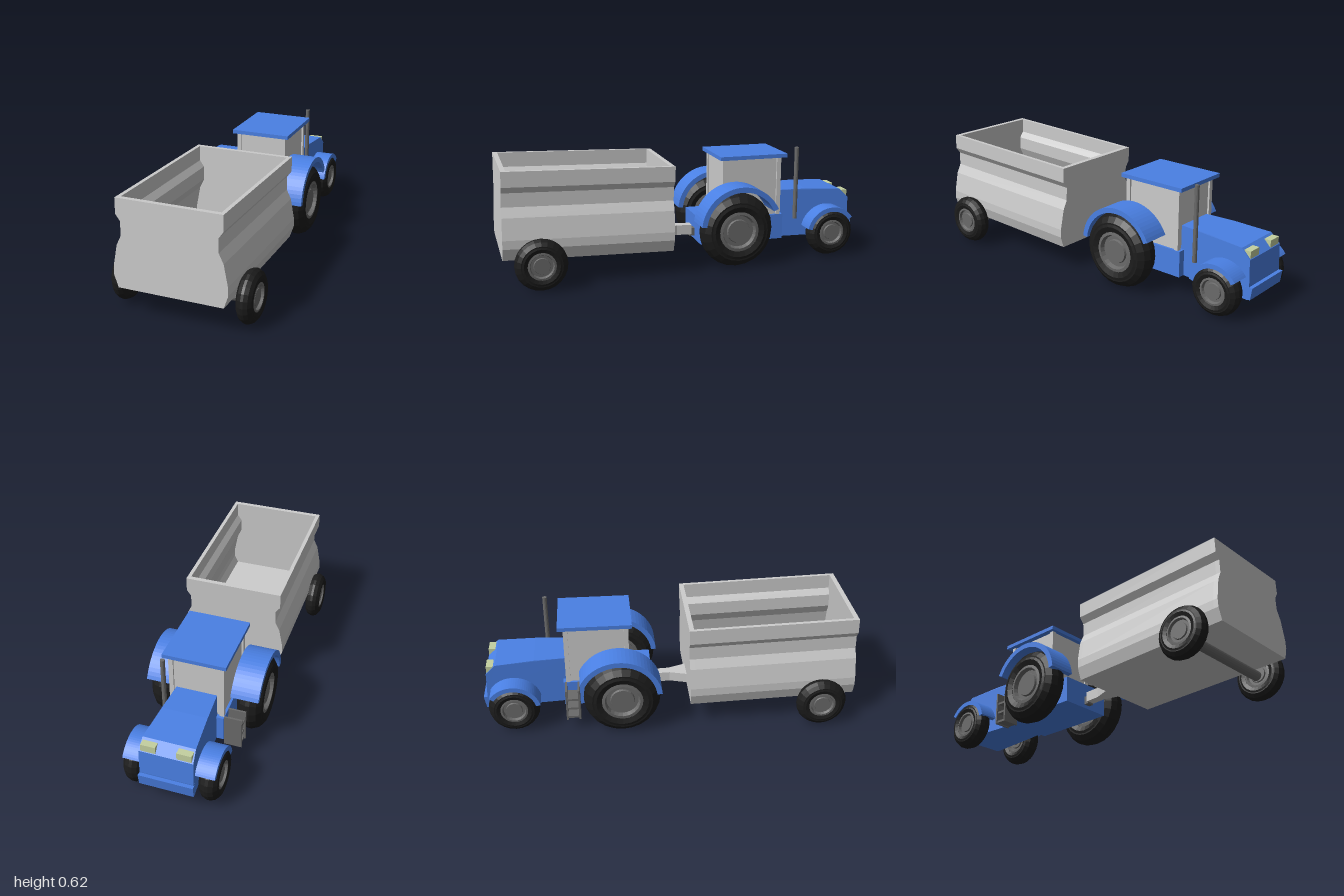
import * as THREE from 'three';

const mat = (color) => new THREE.MeshStandardMaterial({ color, flatShading: true, side: THREE.DoubleSide });

export function createModel() {
  const root = new THREE.Group();
  const grey = mat(0xcccccc), blue = mat(0x4a80e4), tyre = mat(0x1c1c1c);
  const dark = mat(0x6a6a6a), lamp = mat(0xc4d0a0);

  const add = (parent, name, geo, material, x = 0, y = 0, z = 0) => {
    const m = new THREE.Mesh(geo, material);
    m.name = name;
    m.position.set(x, y, z);
    parent.add(m);
    return m;
  };
  const group = (name, parent = root) => {
    const g = new THREE.Group();
    g.name = name;
    parent.add(g);
    return g;
  };
  // box given by its limits on each axis
  const box = (parent, name, material, [x0, x1], [y0, y1], [z0, z1]) =>
    add(parent, name, new THREE.BoxGeometry(x1 - x0, y1 - y0, z1 - z0), material,
      (x0 + x1) / 2, (y0 + y1) / 2, (z0 + z1) / 2);
  const shapeOf = (pts) => new THREE.Shape(pts.map((p) => new THREE.Vector2(...p)));
  // side profile of (z, y) points, extruded across x and centred
  const across = (shape, width) =>
    new THREE.ExtrudeGeometry(shape, { depth: width, bevelEnabled: false, curveSegments: 14 })
      .rotateY(-Math.PI / 2).translate(width / 2, 0, 0);

  // wheel: lathed tyre and stepped rim, axle along x
  const lathe = (pts) => new THREE.LatheGeometry(pts.map((p) => new THREE.Vector2(...p)), 24).rotateZ(Math.PI / 2);
  const wheel = (parent, name, r, w, x, y, z) => {
    const g = group(name, parent);
    g.position.set(x, y, z);
    const mirrored = (half) => [...half, ...half.map(([a, b]) => [a, -b]).reverse()];
    add(g, 'tyre', lathe(mirrored([[r * 0.5, -w * 0.3], [r * 0.54, -w * 0.43], [r * 0.68, -w * 0.5],
      [r * 0.75, -w * 0.47], [r * 0.79, -w * 0.47], [r * 0.93, -w * 0.31], [r, -w * 0.08]])), tyre);
    add(g, 'rim', lathe(mirrored([[0, -w * 0.36], [r * 0.3, -w * 0.36], [r * 0.32, -w * 0.28],
      [r * 0.42, -w * 0.28], [r * 0.46, -w * 0.44], [r * 0.55, -w * 0.42]])), dark);
  };

  // curved mudguard from angle a0 to a1 (degrees from +z)
  const fender = (parent, name, rIn, rOut, a0, a1, width, x, y, z) => {
    const s = new THREE.Shape(), d = Math.PI / 180;
    s.absarc(0, 0, rOut, a0 * d, a1 * d, false);
    s.absarc(0, 0, rIn, a1 * d, a0 * d, true);
    add(parent, name, across(s, width), blue, x, y, z);
  };

  // ---- Tractor, centred on its own x ----
  const tractor = group('tractor');
  tractor.position.x = -0.033;

  // bonnet and front chassis, widening towards the nose
  const taper = (geo) => {
    const p = geo.attributes.position;
    for (let i = 0; i < p.count; i++) {
      const t = THREE.MathUtils.clamp((-0.57 - p.getZ(i)) / 0.4, 0, 1.08);
      p.setX(i, p.getX(i) * (0.108 + 0.03 * t));
    }
    geo.computeVertexNormals();
    return geo;
  };
  add(tractor, 'bonnet', taper(across(shapeOf([[-0.55, 0.105], [-0.97, 0.105], [-0.98, 0.18], [-0.975, 0.315],
    [-0.925, 0.365], [-0.72, 0.376], [-0.55, 0.376]]), 2)), blue);
  add(tractor, 'bumper', taper(across(shapeOf([[-0.96, 0.105], [-0.99, 0.11], [-1, 0.175], [-0.96, 0.175]]), 2.02)), blue);
  box(tractor, 'rearBody', blue, [-0.148, 0.148], [0.105, 0.247], [-0.57, -0.09]);

  // cab with corner posts and flat roof
  box(tractor, 'cab', grey, [-0.135, 0.135], [0.24, 0.575], [-0.545, -0.222]);
  for (const x of [-0.133, 0.133])
    for (const z of [-0.543, -0.226])
      box(tractor, 'cabPost', grey, [x - 0.012, x + 0.012], [0.24, 0.575], [z - 0.012, z + 0.012]);
  box(tractor, 'roof', blue, [-0.166, 0.166], [0.572, 0.593], [-0.583, -0.196]);

  for (const s of [-1, 1]) {
    const side = s > 0 ? 'left' : 'right';
    wheel(tractor, side + 'RearWheel', 0.204, 0.14, s * 0.236, 0.206, -0.26);
    fender(tractor, side + 'RearFender', 0.2, 0.228, 6, 155, 0.148, s * 0.228, 0.223, -0.275);
    wheel(tractor, side + 'FrontWheel', 0.136, 0.1, s * 0.195, 0.141, -0.835);
    fender(tractor, side + 'FrontFender', 0.122, 0.147, 12, 145, 0.1, s * 0.186, 0.138, -0.838);
    // headlight set on the sloping nose
    box(tractor, side + 'Headlight', lamp, [s * 0.091 - 0.038, s * 0.091 + 0.038], [0.315, 0.356], [-0.972, -0.935]);
  }
  for (const [n, r, z] of [['rearAxle', 0.03, -0.26], ['frontAxle', 0.022, -0.835]])
    add(tractor, n, new THREE.CylinderGeometry(r, r, 0.38, 12).rotateZ(Math.PI / 2), dark, 0, r > 0.025 ? 0.206 : 0.141, z);

  add(tractor, 'exhaust', new THREE.CylinderGeometry(0.012, 0.012, 0.41, 12), dark, 0.132, 0.415, -0.652);

  // boarding ladder below the cab
  const ladder = group('ladder', tractor);
  for (const z of [-0.556, -0.489])
    box(ladder, 'ladderSide', dark, [-0.242, -0.148], [0.068, 0.25], [z - 0.005, z + 0.005]);
  for (const y of [0.08, 0.135, 0.19])
    box(ladder, 'ladderStep', dark, [-0.235, -0.148], [y - 0.006, y + 0.006], [-0.555, -0.49]);

  // ---- Trailer, tipped slightly down towards the hitch ----
  const trailer = group('trailer');
  trailer.position.x = -0.009;
  const body = group('trailerBody', trailer);
  body.position.z = 1;
  body.rotation.x = -0.028;

  const outer = [[0.27, 0.61], [0.27, 0.53], [0.246, 0.497], [0.246, 0.425], [0.27, 0.375],
    [0.291, 0.265], [0.291, 0.22], [0.27, 0.157]];
  const inner = outer.map(([x, y], i) => [x - 0.02, i === 7 ? 0.177 : y]);
  const flip = (pts) => pts.map(([x, y]) => [-x, y]).reverse();
  const along = (pts, depth) => new THREE.ExtrudeGeometry(shapeOf(pts), { depth, bevelEnabled: false });
  const wall = 0.025, length = 0.888;
  // trough with open top, closed by two end walls
  add(body, 'trough', along([...flip(outer).reverse(), ...[...outer].reverse(), ...inner, ...flip(inner)],
    length - 2 * wall), grey, 0, 0, -length + wall);
  const solid = [...flip(outer).reverse(), ...[...outer].reverse()];
  add(body, 'rearWall', along(solid, wall), grey, 0, 0, -wall);
  add(body, 'hitchWall', along(solid, wall), grey, 0, 0, -length);

  // axle and wheels
  add(trailer, 'axle', new THREE.CylinderGeometry(0.027, 0.027, 0.58, 16).rotateZ(Math.PI / 2), dark, 0.004, 0.127, 0.81);
  for (const s of [-1, 1])
    wheel(trailer, s > 0 ? 'leftWheel' : 'rightWheel', 0.134, 0.084, 0.007 + s * 0.325, 0.14, 0.81);

  // tapered drawbar (plan outline) and hitch pin
  const bar = new THREE.ExtrudeGeometry(shapeOf([[-0.058, -0.12], [0.058, -0.12], [0.024, -0.015], [0.024, 0.07], [-0.024, 0.07],
    [-0.024, -0.015]]), { depth: 0.055, bevelEnabled: false }).rotateX(-Math.PI / 2);
  add(trailer, 'drawbar', bar, grey, -0.016, 0.137, 0).rotation.x = -0.03;
  box(trailer, 'hitch', dark, [-0.036, 0.004], [0.125, 0.17], [-0.1, -0.062]);

  return root;
}
